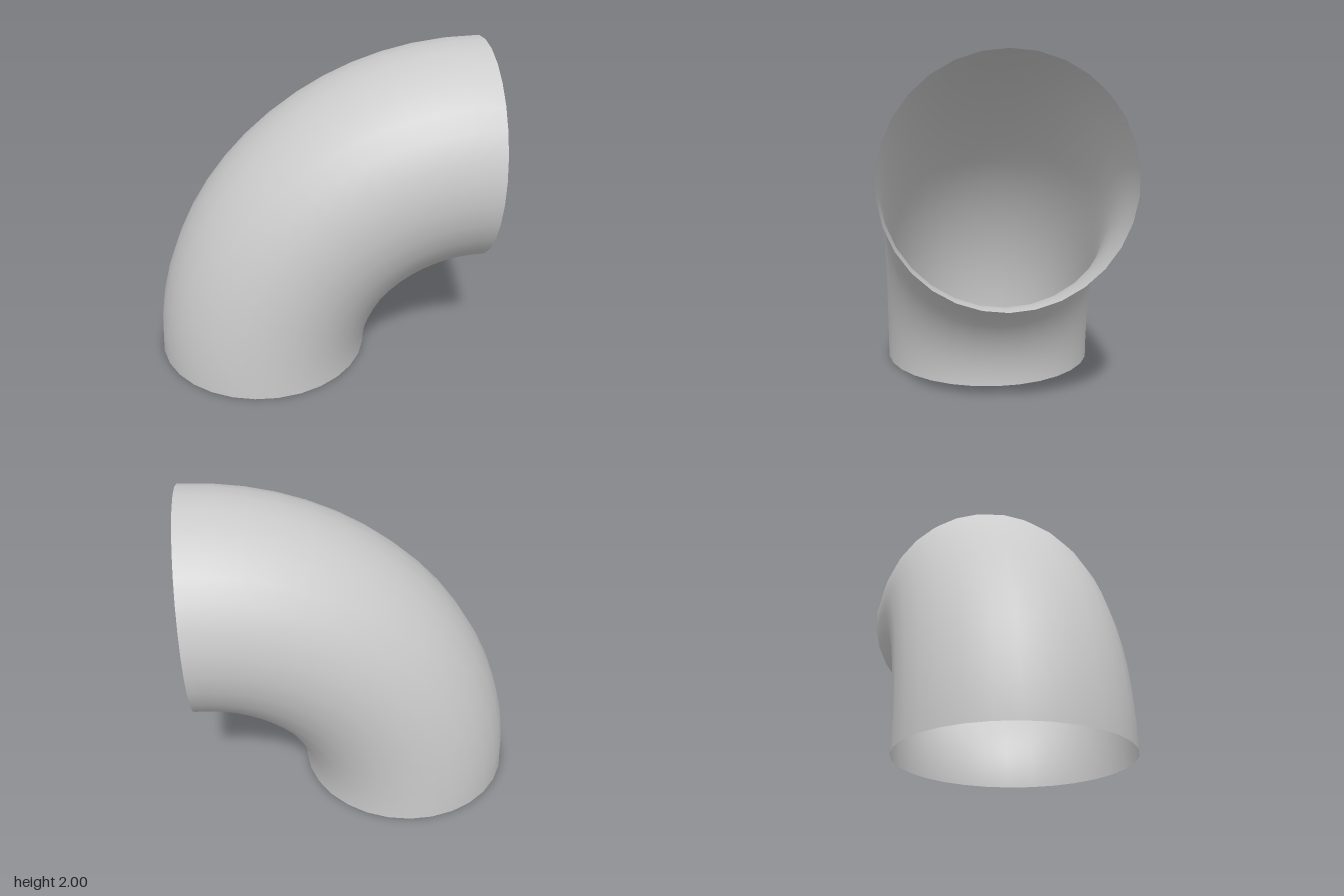
import * as THREE from 'three';

// A thin, open-ended 90 degree pipe elbow.
export function createModel() {
  const group = new THREE.Group();
  group.name = 'pipeElbow';

  const bendRadius = 4 / 3;
  const pipeRadius = 2 / 3;

  // Quarter torus, turned so it rises from the ground and opens towards +x
  const geometry = new THREE.TorusGeometry(bendRadius, pipeRadius, 30, 16, Math.PI / 2);
  geometry.rotateZ(Math.PI / 2);
  geometry.translate(1, 0, 0);

  const material = new THREE.MeshStandardMaterial({ color: 0xcccccc, side: THREE.DoubleSide });
  const elbow = new THREE.Mesh(geometry, material);
  elbow.name = 'elbowWall';
  group.add(elbow);

  return group;
}
